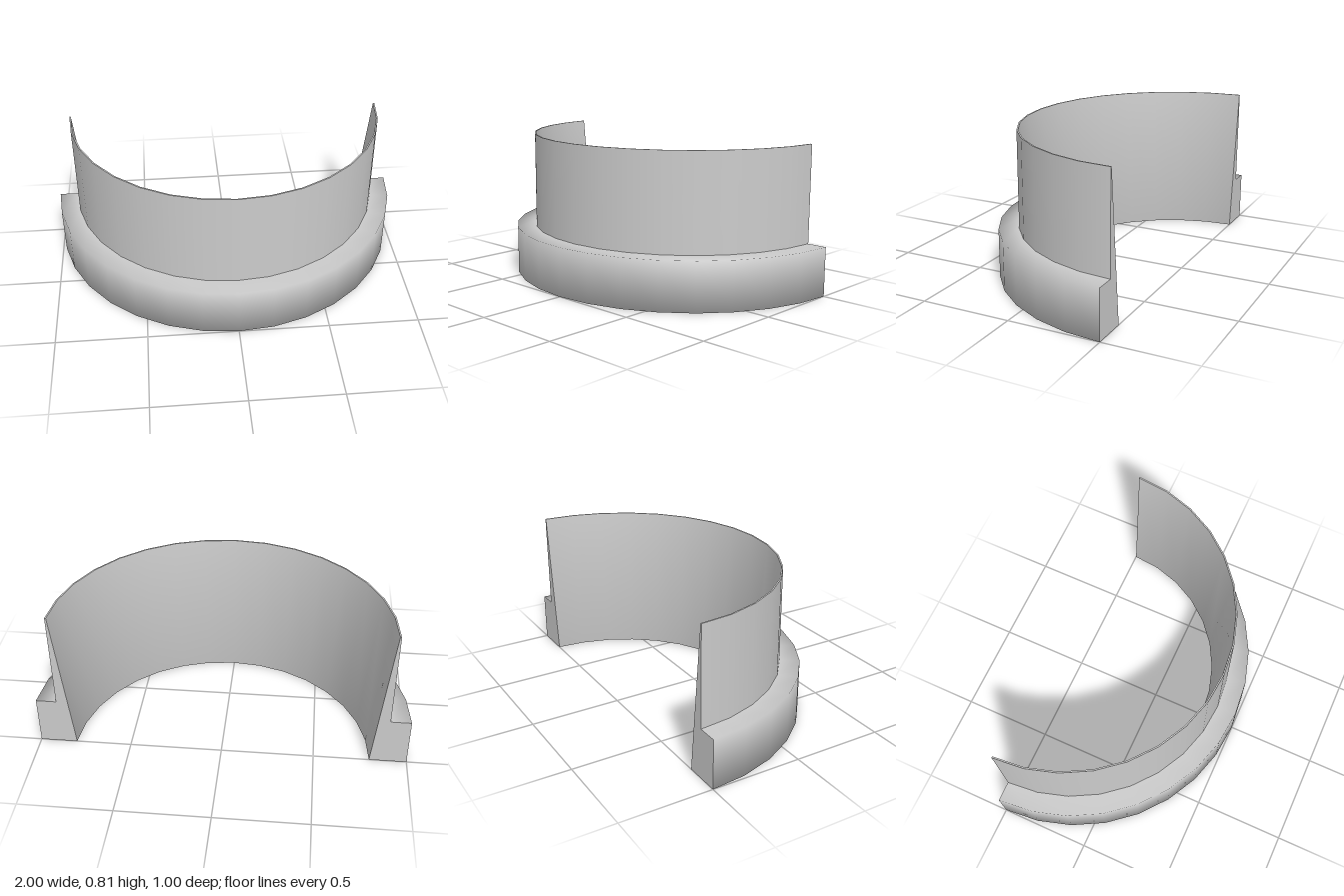
import * as THREE from 'three';

const SEGMENTS = 16;
const CENTRE_Z = -0.5;

export function createModel() {
  const group = new THREE.Group();
  const material = new THREE.MeshStandardMaterial({ color: 0xcccccc });

  const add = (geometry, name) => {
    const mesh = new THREE.Mesh(geometry, material);
    mesh.name = name;
    mesh.position.z = CENTRE_Z;
    group.add(mesh);
  };

  // Cross-section as [radius, height]: tapered bore, flange, thin collar
  const rim = [0.89, 0.813];
  const step = [0.89, 0.272];
  const lip = [0.882, 0.813];
  const flange = [lip, [0.8, 0], [1, 0], [1, 0.272], step];

  // Half turn around the vertical axis, open at the back
  const halfLathe = (profile) => new THREE.LatheGeometry(
    profile.map(([r, y]) => new THREE.Vector2(r, y)), SEGMENTS, -Math.PI / 2, Math.PI);

  add(halfLathe(flange), 'flangeAndBore');
  add(halfLathe([step, rim]), 'collarOuterWall');
  add(halfLathe([rim, lip]), 'collarRim');

  // Flat cut faces at both ends, facing backwards
  for (const side of [-1, 1]) {
    const shape = new THREE.Shape(
      [...flange, rim].map(([r, y]) => new THREE.Vector2(-side * r, y)));
    add(new THREE.ShapeGeometry(shape).rotateY(Math.PI), side > 0 ? 'leftEndFace' : 'rightEndFace');
  }
  return group;
}
